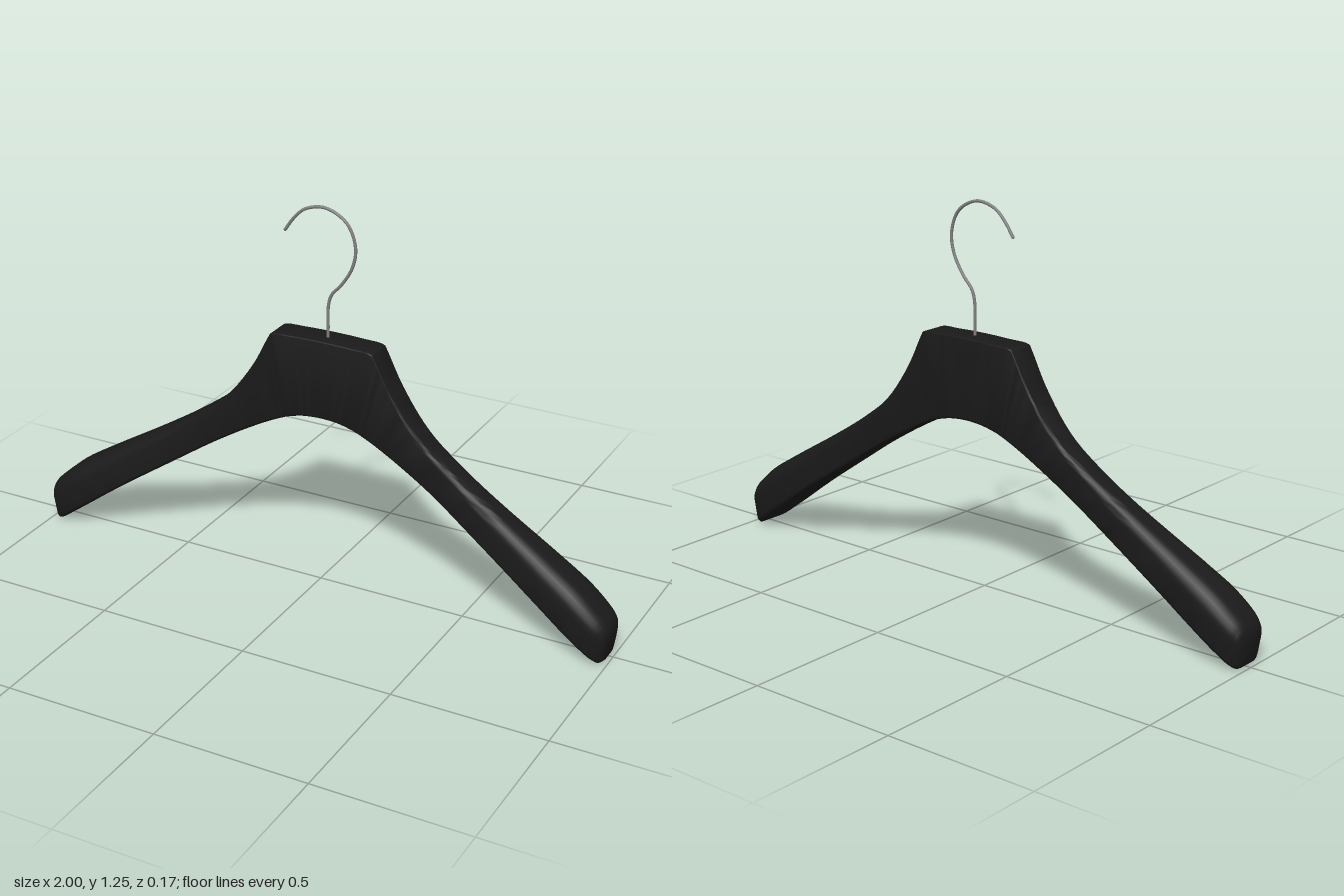
import * as THREE from 'three';
import { toCreasedNormals } from 'three/addons/utils/BufferGeometryUtils.js';

// Stations from the centre to one arm tip:
// [top x, top y, bottom x, bottom y, front z, back z, top radius, bottom radius]
const STATIONS = [
  [0, 0.83, 0, 0.568, 0.002, -0.09, 0.004, 0.008],
  [0.1, 0.828, 0.065, 0.563, 0.002, -0.09, 0.004, 0.008],
  [0.174, 0.823, 0.12, 0.549, 0.004, -0.088, 0.004, 0.008],
  [0.183, 0.811, 0.128, 0.546, 0.004, -0.088, 0.005, 0.008],
  [0.243, 0.7, 0.18, 0.522, 0.005, -0.086, 0.008, 0.009],
  [0.34, 0.575, 0.27, 0.473, 0.008, -0.083, 0.015, 0.01],
  [0.45, 0.491, 0.39, 0.4, 0.014, -0.078, 0.024, 0.01],
  [0.59, 0.402, 0.51, 0.321, 0.03, -0.075, 0.036, 0.01],
  [0.8, 0.277, 0.73, 0.174, 0.066, -0.077, 0.05, 0.014],
  [0.9, 0.214, 0.85, 0.087, 0.082, -0.076, 0.055, 0.02],
  [0.955, 0.168, 0.92, 0.036, 0.084, -0.07, 0.052, 0.022],
  [0.985, 0.138, 0.957, 0.009, 0.076, -0.06, 0.046, 0.022],
  [0.997, 0.116, 0.976, 0.001, 0.064, -0.048, 0.038, 0.02],
  [1, 0.092, 0.988, 0.008, 0.046, -0.03, 0.028, 0.016],
];
const STEPS = 5;       // rings between stations
const CORNER = 6;      // segments per rounded corner

// Rounded cross-section between a top point and a bottom point
function crossSection(top, bottom, front, back, rTop, rBottom) {
  const height = top.distanceTo(bottom);
  const corners = [
    [front, 1, -1, rTop], [back, 1, 1, rTop],
    [back, 0, 1, rBottom], [front, 0, -1, rBottom],
  ];
  const ring = [];
  corners.forEach(([z, s, inward, radius], k) => {
    const r = Math.min(radius, (front - back) * 0.49, height * 0.49);
    const cz = z + inward * r;
    const cs = s * height + (s ? -r : r);
    for (let j = 0; j <= CORNER; j++) {
      const a = (k + j / CORNER) * Math.PI / 2;
      const p = bottom.clone().lerp(top, (cs + r * Math.sin(a)) / height);
      ring.push([p.x, p.y, cz + r * Math.cos(a)]);
    }
  });
  return ring;
}

function bodyGeometry() {
  // Mirror the stations, then smooth them with matching curves
  const mirrored = STATIONS.slice(1).reverse()
    .map(([tx, ty, bx, ...rest]) => [-tx, ty, -bx, ...rest]);
  const rows = [...mirrored, ...STATIONS];
  const curve = (f) => new THREE.CatmullRomCurve3(rows.map((r) => new THREE.Vector3(...f(r))));
  const topCurve = curve((r) => [r[0], r[1], 0]);
  const bottomCurve = curve((r) => [r[2], r[3], 0]);

  const count = (rows.length - 1) * STEPS;
  const position = [], index = [];
  const n = 4 * (CORNER + 1);
  for (let i = 0; i <= count; i++) {
    const k = Math.min(Math.floor(i / STEPS), rows.length - 2);
    const f = i / STEPS - k;
    // Depth and radii follow a cubic through neighbouring stations
    const value = (c) => {
      const at = (m) => rows[THREE.MathUtils.clamp(m, 0, rows.length - 1)];
      const span = (m) => at(m)[0];
      const slope = (m) => (at(m + 1)[c] - at(m - 1)[c]) / (span(m + 1) - span(m - 1));
      const w = span(k + 1) - span(k), a = at(k)[c], b = at(k + 1)[c];
      const f2 = f * f, f3 = f2 * f;
      return a * (2 * f3 - 3 * f2 + 1) + b * (3 * f2 - 2 * f3)
        + w * (slope(k) * (f3 - 2 * f2 + f) + slope(k + 1) * (f3 - f2));
    };
    const t = i / count;
    const ring = crossSection(topCurve.getPoint(t), bottomCurve.getPoint(t),
      value(4), value(5), value(6), value(7));
    position.push(...ring.flat());
    if (i === count) break;
    for (let j = 0; j < n; j++) {
      const a = i * n + j, c = i * n + (j + 1) % n;
      index.push(a, a + n, c + n, a, c + n, c);
    }
  }
  // Flat caps at the arm tips
  const last = count * n;
  for (let j = 1; j < n - 1; j++) {
    index.push(0, j, j + 1, last, last + j + 1, last + j);
  }
  const geometry = new THREE.BufferGeometry();
  geometry.setAttribute('position', new THREE.Float32BufferAttribute(position, 3));
  geometry.setIndex(index);
  return toCreasedNormals(geometry, 0.6);
}

function hookGeometry() {
  const path = new THREE.CatmullRomCurve3([
    [0.003, 0.78], [0.003, 0.86], [0.004, 0.935], [0.015, 0.972], [0.048, 1.01],
    [0.086, 1.075], [0.095, 1.14], [0.066, 1.21], [-0.005, 1.247],
    [-0.075, 1.233], [-0.115, 1.197], [-0.145, 1.155],
  ].map(([x, y]) => new THREE.Vector3(x, y, -0.042)));
  return { path, geometry: new THREE.TubeGeometry(path, 120, 0.005, 10) };
}

export function createModel() {
  const model = new THREE.Group();
  model.name = 'clothesHanger';
  const add = (name, geometry, material) => {
    const mesh = new THREE.Mesh(geometry, material);
    mesh.name = name;
    model.add(mesh);
    return mesh;
  };

  // Shaped shoulder body
  add('shoulderBody', bodyGeometry(), new THREE.MeshStandardMaterial({ color: 0x1a1a1a }));

  // Wire hook with a rounded tip
  const wire = new THREE.MeshStandardMaterial({ color: 0x808080 });
  const { path, geometry } = hookGeometry();
  add('hook', geometry, wire);
  add('hookTip', new THREE.SphereGeometry(0.005, 10, 8), wire).position.copy(path.getPoint(1));
  return model;
}
